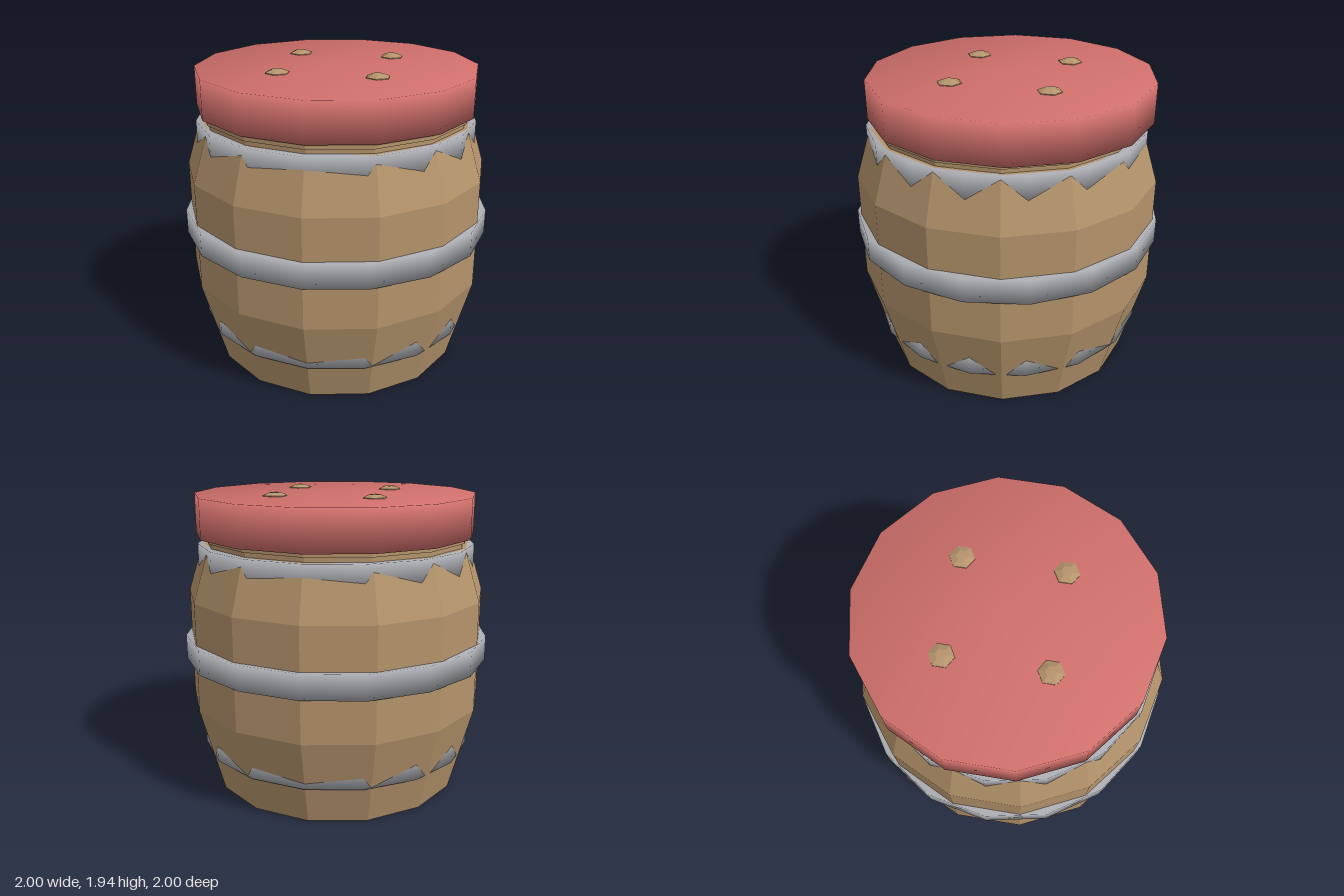
import * as THREE from 'three';
import { mergeVertices } from 'three/addons/utils/BufferGeometryUtils.js';

const wood = new THREE.MeshStandardMaterial({ color: 0xb5946c, flatShading: true });
const metal = new THREE.MeshStandardMaterial({ color: 0xaaacb1 });
const red = new THREE.MeshStandardMaterial({ color: 0xcf6f6b });

// Faceted turned part from a [radius, height] profile
function turned(name, profile, sides, material) {
  const points = profile.map(([r, y]) => new THREE.Vector2(r, y));
  const mesh = new THREE.Mesh(new THREE.LatheGeometry(points, sides), material);
  mesh.name = name;
  return mesh;
}

// Solid disc whose normals blend softly over its rims
function softDisc(name, radius, bottom, top, sides, material) {
  const cylinder = new THREE.CylinderGeometry(radius, radius, top - bottom, sides);
  cylinder.deleteAttribute('uv');
  cylinder.deleteAttribute('normal');
  const geometry = mergeVertices(cylinder);
  geometry.computeVertexNormals();
  const mesh = new THREE.Mesh(geometry, material);
  mesh.name = name;
  mesh.position.y = (bottom + top) / 2;
  return mesh;
}

export function createModel() {
  const barrel = new THREE.Group();
  barrel.name = 'barrel';

  // Staved body with neck and lip
  barrel.add(turned('body', [
    [0, 0], [0.823, 0], [0.976, 0.57], [0.976, 1.28], [0.873, 1.61],
    [0.85, 1.61], [0.85, 1.64], [0.866, 1.64], [0.866, 1.67], [0, 1.67],
  ], 14, wood));

  // Hoops have more sides than the body, so they dip in and out of it
  barrel.add(softDisc('lowerHoop', 0.9, 0.25, 0.41, 16, metal));
  barrel.add(softDisc('middleHoop', 1, 0.85, 1.01, 16, metal));
  barrel.add(softDisc('upperHoop', 0.897, 1.45, 1.61, 16, metal));

  // Lid, set slightly towards the back
  const lid = softDisc('lid', 0.906, 1.67, 1.92, 14, red);
  lid.position.z = -0.026;
  barrel.add(lid);

  // Four hexagonal studs on the lid
  for (const x of [-0.31, 0.31]) {
    for (const z of [-0.34, 0.275]) {
      const stud = turned('stud', [
        [0, 1.9], [0.077, 1.9], [0.077, 1.925], [0.035, 1.942], [0, 1.944],
      ], 6, wood);
      stud.position.set(x, 0, z);
      barrel.add(stud);
    }
  }
  return barrel;
}
